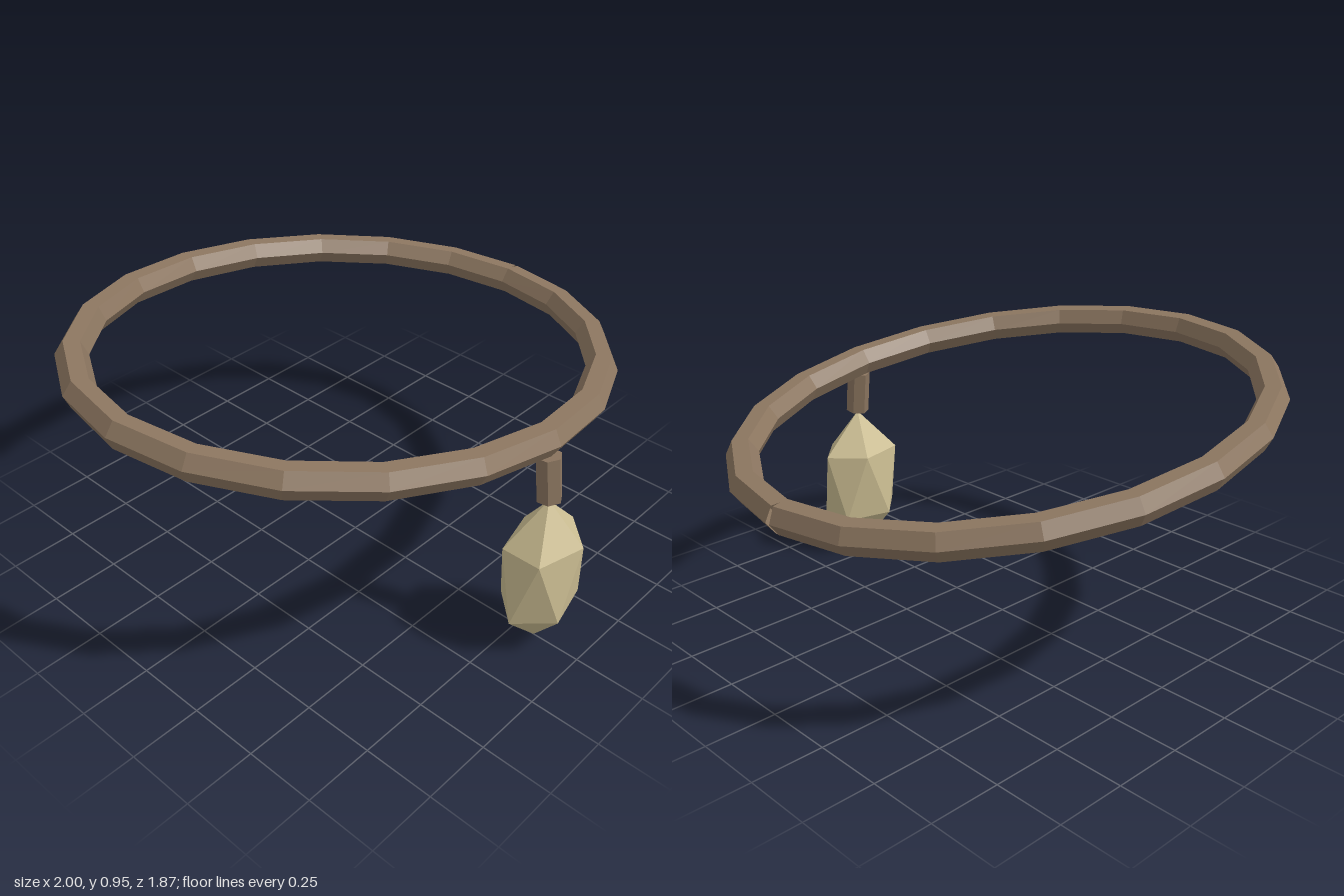
import * as THREE from 'three';
import { ConvexGeometry } from 'three/addons/geometries/ConvexGeometry.js';

const brown = new THREE.MeshStandardMaterial({ name: 'brown wood', color: 0x8c7660, flatShading: true, side: THREE.DoubleSide });
const pale = new THREE.MeshStandardMaterial({ name: 'pale crystal', color: 0xcbbd92, flatShading: true });

// Six-sided tube swept round an ellipse; its square-cut ends leave a thin wedge at +x
function bandGeometry(rx, rz, radius, steps = 20, sides = 6) {
  const point = (i) => {
    const t = (i / steps) * Math.PI * 2;
    return new THREE.Vector3(rx * Math.cos(t), 0, rz * Math.sin(t));
  };
  const positions = [];
  const index = [];
  for (let i = 0; i <= steps; i++) {
    const before = point(Math.max(i - 1, 0));
    const after = point(Math.min(i + 1, steps));
    const along = after.sub(before).normalize();
    const centre = point(i);
    for (let j = 0; j < sides; j++) {
      const a = (j / sides) * Math.PI * 2;
      const out = radius * Math.cos(a);
      positions.push(centre.x + along.z * out, radius * Math.sin(a), centre.z - along.x * out);
      if (i < steps) {
        const p = i * sides + j;
        const q = i * sides + ((j + 1) % sides);
        index.push(p, q, p + sides, q, q + sides, p + sides);
      }
    }
  }
  const indexed = new THREE.BufferGeometry();
  indexed.setAttribute('position', new THREE.Float32BufferAttribute(positions, 3));
  indexed.setIndex(index);
  const geometry = indexed.toNonIndexed();
  geometry.computeVertexNormals();
  return geometry;
}

// Stretched twenty-sided gem: two poles and two opposed five-point rings
function gemGeometry(rx, halfHeight, rz) {
  const points = [new THREE.Vector3(0, halfHeight, 0), new THREE.Vector3(0, -halfHeight, 0)];
  for (let i = 0; i < 5; i++) {
    const a = (i / 5) * Math.PI * 2;
    const x = rx * Math.cos(a);
    const y = halfHeight / Math.sqrt(5);
    const z = rz * Math.sin(a);
    points.push(new THREE.Vector3(x, y, z), new THREE.Vector3(-x, -y, -z));
  }
  return new ConvexGeometry(points);
}

export function createModel() {
  const model = new THREE.Group();
  model.name = 'pendantNecklace';

  const add = (name, geometry, material, x, y, z) => {
    const mesh = new THREE.Mesh(geometry, material);
    mesh.name = name;
    mesh.position.set(x, y, z);
    model.add(mesh);
    return mesh;
  };

  // Neck band, leaning down towards +x
  add('band', bandGeometry(0.952, 0.834, 0.055), brown, 0, 0.793, -0.044).rotation.z = -0.119;

  // Hanger, tipped slightly forward at its foot
  add('hanger', new THREE.CylinderGeometry(0.043, 0.043, 0.16, 6), brown, 0, 0.662, 0.815).rotation.x = -0.12;

  // Hanging crystal
  add('crystal', gemGeometry(0.158, 0.287, 0.121), pale, 0, 0.29, 0.825);

  return model;
}
